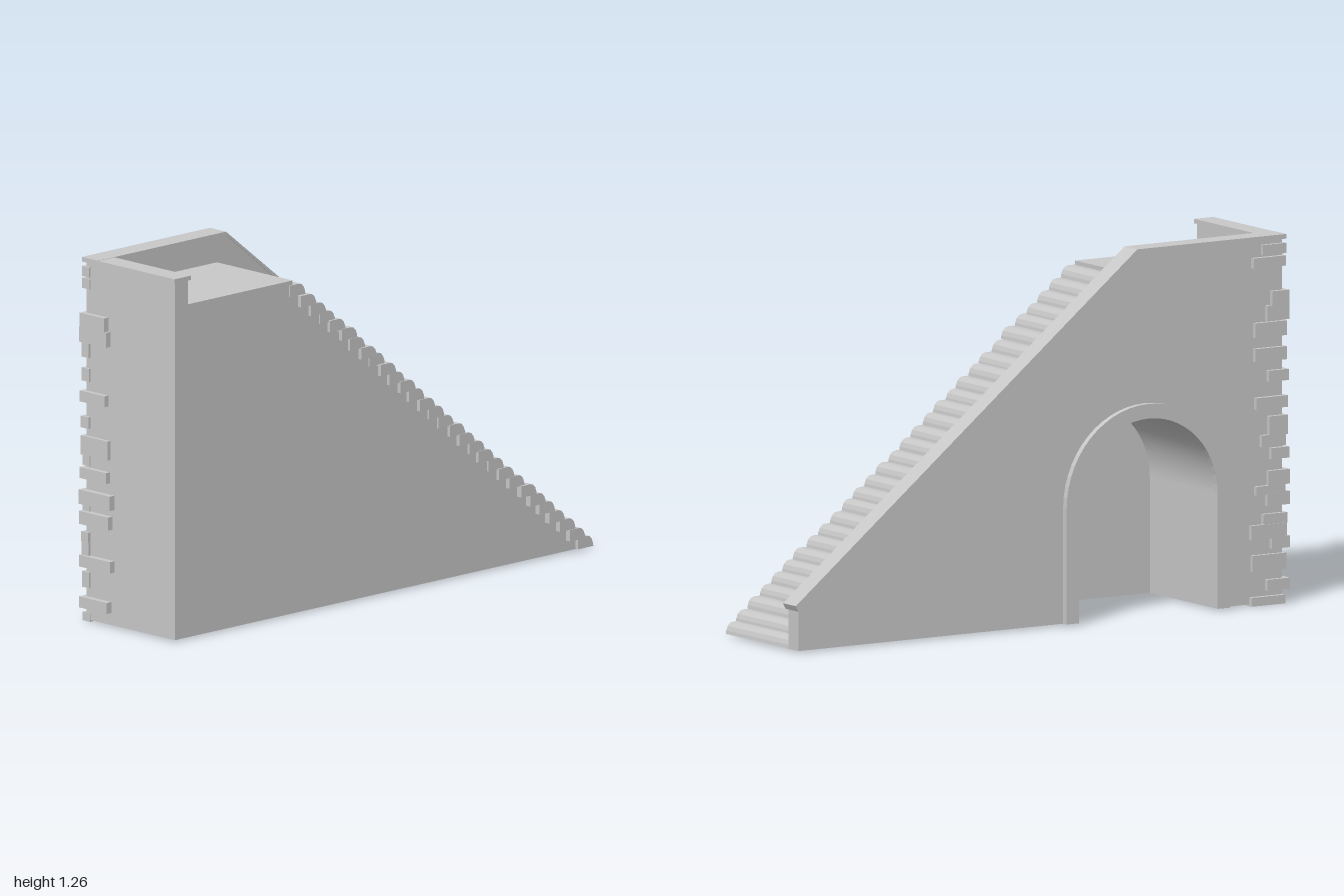
import * as THREE from 'three';

const stone = new THREE.MeshStandardMaterial({ color: 0xc8c8c8, side: THREE.DoubleSide });
stone.name = 'grey stone';

// Small seeded random, for uneven masonry
let seed = 7;
const jitter = (a) => {
  seed = (seed * 16807) % 2147483647;
  return (seed / 2147483647 - 0.5) * 2 * a;
};

// Arch dimensions, in the side plane
const ARCH_Z = 0.42, SPRING = 0.4, R_IN = 0.28, R_OUT = 0.33, GROUND = 0.006;
// Wall planes
const ARCHED_X = -0.215, PARAPET_X = -0.155, NICHE_X = 0.178, CLOSED_X = 0.211;

export function createModel() {
  const model = new THREE.Group();
  model.name = 'stoneStaircase';

  const add = (name, geometry) => {
    const mesh = new THREE.Mesh(geometry, stone);
    mesh.name = name;
    model.add(mesh);
    return mesh;
  };

  const box = (name, x0, x1, y0, y1, z0, z1) => {
    const mesh = add(name, new THREE.BoxGeometry(x1 - x0, y1 - y0, z1 - z0));
    mesh.position.set((x0 + x1) / 2, (y0 + y1) / 2, (z0 + z1) / 2);
    return mesh;
  };

  // Points along an arch from one foot to the other, as [z, y]
  const archPoints = (r, reverse = false) => {
    const pts = [[ARCH_Z - r, GROUND]];
    for (let i = 0; i <= 28; i++) {
      const a = Math.PI * (1 - i / 28);
      pts.push([ARCH_Z + r * Math.cos(a), SPRING + r * Math.sin(a)]);
    }
    pts.push([ARCH_Z + r, GROUND]);
    return reverse ? pts.reverse() : pts;
  };

  const sideShape = (pts) => new THREE.Shape(pts.map(([z, y]) => new THREE.Vector2(-z, y)));

  // Side profile of [z, y] points, extruded from x0 to x1
  const slab = (name, pts, x0, x1) => {
    const geo = new THREE.ExtrudeGeometry(sideShape(pts), { depth: x1 - x0, bevelEnabled: false });
    return add(name, geo.rotateY(Math.PI / 2).translate(x0, 0, 0));
  };

  // Flat side profile at one x
  const panel = (name, pts, x) =>
    add(name, new THREE.ShapeGeometry(sideShape(pts)).rotateY(Math.PI / 2).translate(x, 0, 0));

  // Open surface following [z, y] points, from x0 to x1
  const strip = (name, pts, x0, x1) => {
    const positions = [], index = [];
    pts.forEach(([z, y], i) => {
      positions.push(x0, y, z, x1, y, z);
      const a = i * 2;
      if (i) index.push(a - 2, a, a - 1, a - 1, a, a + 1);
    });
    const geo = new THREE.BufferGeometry();
    geo.setAttribute('position', new THREE.Float32BufferAttribute(positions, 3));
    geo.setIndex(index);
    geo.computeVertexNormals();
    return add(name, geo);
  };

  // Hollow masonry shell, open underneath
  const slope = [[0.42, 1.12], [-0.955, GROUND]];
  const parapetTop = [[0.975, 1.247], [0.375, 1.247], [-0.98, 0.16], [-0.98, GROUND]];
  panel('closedSideWall', [[0.975, GROUND], [0.975, 1.16], [0.42, 1.16], ...slope], CLOSED_X);
  panel('archedSideWall', [[0.975, GROUND], ...parapetTop, ...archPoints(R_IN)], ARCHED_X);
  panel('parapetInnerFace', [[0.975, 1.16], ...parapetTop, ...[...slope].reverse(), [0.42, 1.16]], PARAPET_X);
  strip('frontWall', [[0.975, GROUND], [0.975, 1.247]], ARCHED_X, CLOSED_X);
  strip('landing', [[0.975, 1.16], [0.42, 1.16]], PARAPET_X, CLOSED_X);
  strip('landingEdge', [[0.42, 1.16], [0.42, 1.12]], PARAPET_X, CLOSED_X);
  strip('stairBed', slope, PARAPET_X, CLOSED_X);
  strip('parapetEnd', [[-0.98, GROUND], [-0.98, 0.16]], ARCHED_X, PARAPET_X);

  // Arched niche
  strip('nicheVault', archPoints(R_IN), ARCHED_X, NICHE_X);
  panel('nicheBack', archPoints(R_IN), NICHE_X);
  slab('archTrim', [...archPoints(R_OUT), ...archPoints(R_IN, true)], -0.237, ARCHED_X);

  // Parapet coping
  slab('sideCoping', [
    [0.982, 1.244], [0.982, 1.26], [0.38, 1.26], [-1.0, 0.163], [-0.99, 0.143], [0.374, 1.244],
  ], -0.23, -0.152);
  box('frontParapet', PARAPET_X, CLOSED_X, 1.16, 1.247, 0.912, 0.974);
  box('frontCoping', -0.152, 0.217, 1.244, 1.259, 0.905, 0.982);

  // Uneven stair treads with worn, rounded noses
  const nose = [[0.072, -0.04], [0, -0.04], [0.002, -0.028], [0.008, -0.013], [0.018, -0.003], [0.03, 0], [0.072, 0]];
  for (let i = 0; i < 30; i++) {
    const z = -0.982 + i * 0.0465 + (i ? jitter(0.004) : 0);
    const y = 0.047 + i * 0.0378 + (i ? jitter(0.003) : 0);
    const right = (i < 7 ? 0.229 : 0.221) + jitter(0.006);
    const tread = slab('stairTread', nose.map(([dz, dy]) => [dz, dy]), -0.157, right);
    tread.position.set(0, y, z);
    tread.rotation.y = jitter(0.008);
  }

  // Corner stones, long on the front: [y centre, height, inner x]
  [
    [0.067, 0.038, -0.095], [0.21, 0.04, -0.08], [0.36, 0.045, -0.09], [0.432, 0.05, -0.08],
    [0.515, 0.038, -0.102], [0.61, 0.066, -0.1], [0.78, 0.038, -0.11], [0.995, 0.052, -0.1],
    [1.045, 0.048, -0.11],
  ].forEach(([y, h, x]) =>
    box('frontCornerStone', -0.23, x, y - h / 2, y + h / 2, 0.92 + jitter(0.015), 0.992 + jitter(0.006)));

  // Corner stones, long on the arched side: [y centre, height]
  [
    [0.015, 0.03], [0.145, 0.055], [0.25, 0.05], [0.293, 0.035], [0.392, 0.03], [0.56, 0.04],
    [0.69, 0.04], [0.855, 0.045], [0.94, 0.05], [1.17, 0.035], [1.212, 0.035],
  ].forEach(([y, h]) =>
    box('sideCornerStone', -0.231 + jitter(0.003), -0.195, y - h / 2, y + h / 2, 0.865 + jitter(0.025), 0.982 + jitter(0.005)));

  return model;
}
